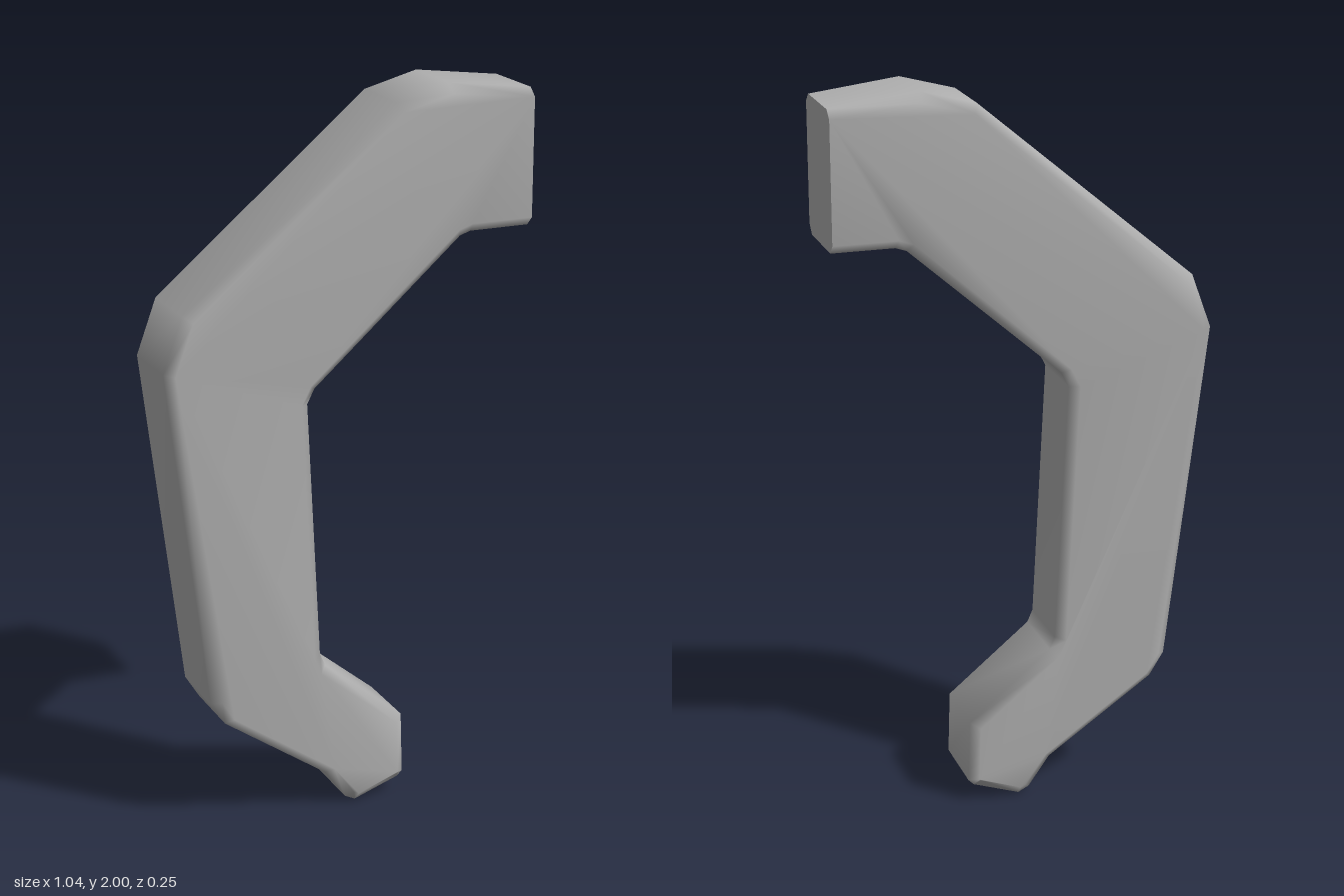
import * as THREE from 'three';
import { mergeVertices } from 'three/addons/utils/BufferGeometryUtils.js';

const BEVEL = 0.025, DEPTH = 0.245, END_X = 0.52;

// Side profile of the hook, counter-clockwise from the mounting end
const OUTLINE = [
  [0.52, 1.97], [0.28, 2.0], [0.13, 1.96], [-0.465, 1.46], [-0.52, 1.31],
  [-0.405, 0.37], [-0.365, 0.305], [-0.07, 0.1], [-0.01, 0.015], [0.02, 0],
  [0.15, 0.045], [0.165, 0.06], [0.16, 0.235], [-0.07, 0.425], [-0.085, 0.46],
  [-0.12, 1.18], [-0.1, 1.22], [0.32, 1.59], [0.35, 1.6], [0.52, 1.6],
];

// Welded, smooth-shaded geometry from a list of triangle coordinates
function smoothGeometry(coords) {
  const geo = new THREE.BufferGeometry();
  geo.setAttribute('position', new THREE.Float32BufferAttribute(coords, 3));
  const welded = mergeVertices(geo, 1e-4);
  welded.computeVertexNormals();
  return welded;
}

export function createModel() {
  const group = new THREE.Group();
  group.name = 'angledHook';
  const grey = new THREE.MeshStandardMaterial({ color: 0xb0b0b0 });
  grey.name = 'grey';

  // Bevelled bar
  const shape = new THREE.Shape(OUTLINE.map(([x, y]) => new THREE.Vector2(x, y)));
  const bar = new THREE.ExtrudeGeometry(shape, {
    depth: DEPTH - 2 * BEVEL, bevelEnabled: true, bevelSegments: 1,
    bevelSize: BEVEL, bevelThickness: BEVEL, bevelOffset: -BEVEL,
  });
  bar.translate(0, 0, -DEPTH / 2 + BEVEL);

  // Cut the mounting end off flat, without a bevel
  const pos = bar.getAttribute('position');
  for (let i = 0; i < pos.count; i++) if (pos.getX(i) > 0.45) pos.setX(i, END_X);

  // Keep the flat end separate so its edge stays sharp
  const body = [], end = [];
  for (let i = 0; i < pos.count; i += 3) {
    const onEnd = [0, 1, 2].every((k) => pos.getX(i + k) > END_X - 0.001);
    (onEnd ? end : body).push(...pos.array.slice(i * 3, i * 3 + 9));
  }
  for (const [name, coords] of [['hookBody', body], ['mountingEnd', end]]) {
    const mesh = new THREE.Mesh(smoothGeometry(coords), grey);
    mesh.name = name;
    group.add(mesh);
  }
  return group;
}
